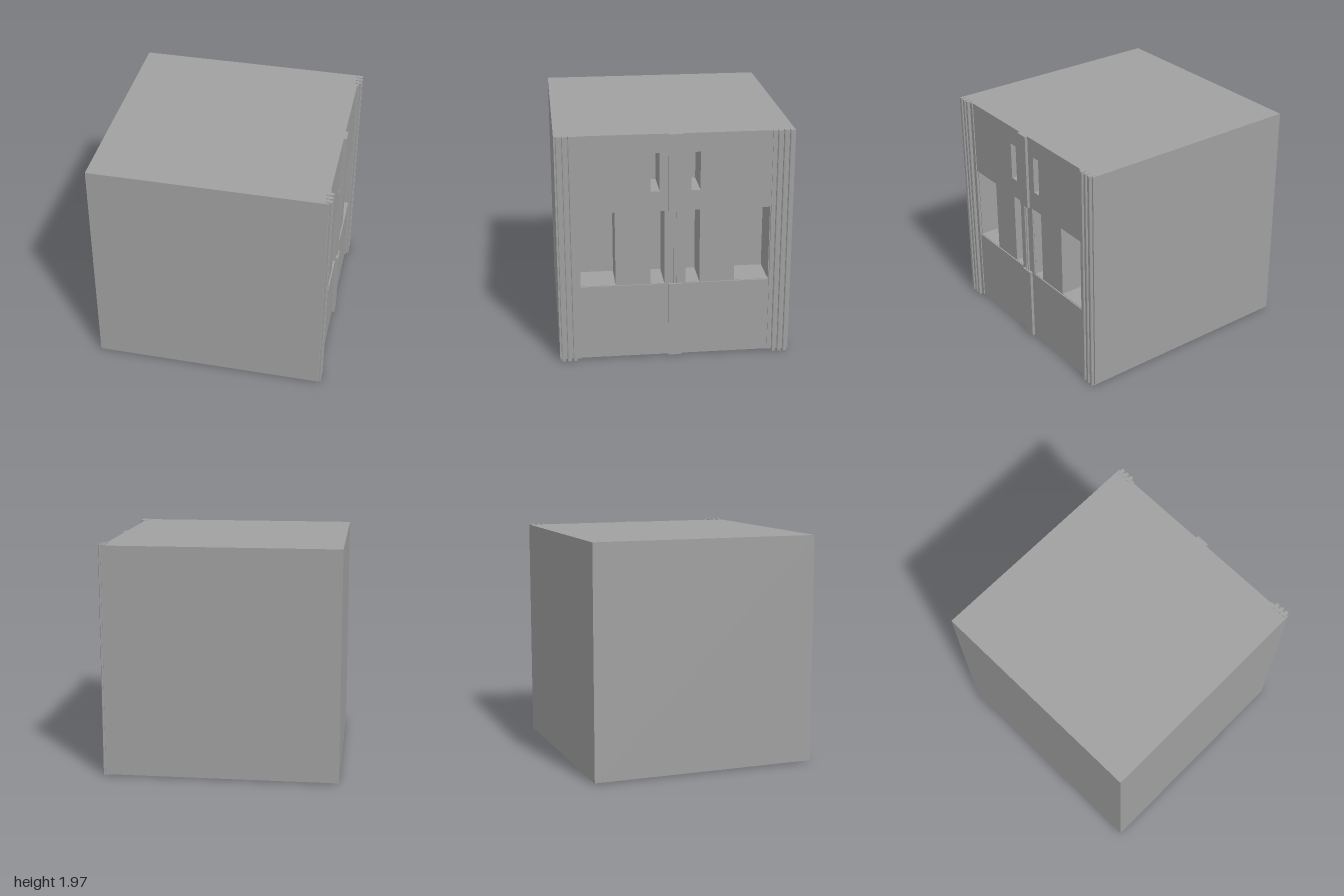
import * as THREE from 'three';

export function createModel() {
  const model = new THREE.Group();
  const grey = new THREE.MeshStandardMaterial({ color: 0xa0a0a0 });
  const Y0 = 0.01, Y1 = 1.965, Z = 0.977, FACE = 0.955;

  const add = (name, geometry) => {
    const mesh = new THREE.Mesh(geometry, grey);
    mesh.name = name;
    model.add(mesh);
    return mesh;
  };
  // box given by its limits on each axis
  const box = (name, x0, x1, y0, y1, z0, z1) =>
    add(name, new THREE.BoxGeometry(x1 - x0, y1 - y0, z1 - z0)
      .translate((x0 + x1) / 2, (y0 + y1) / 2, (z0 + z1) / 2));
  const rect = (Type, z0, z1, y0, y1) => new Type([
    new THREE.Vector2(z0, y0), new THREE.Vector2(z1, y0),
    new THREE.Vector2(z1, y1), new THREE.Vector2(z0, y1)]);
  // upright panel facing +x, with mirrored rectangular openings
  const panel = (name, x0, x1, [z, y0, y1], openings) => {
    const shape = rect(THREE.Shape, -z, z, y0, y1);
    for (const [a, b, c, d] of openings) {
      shape.holes.push(rect(THREE.Path, a, b, c, d), rect(THREE.Path, -b, -a, c, d));
    }
    add(name, new THREE.ExtrudeGeometry(shape, { depth: x1 - x0, bevelEnabled: false })
      .rotateY(Math.PI / 2).translate(x0, 0, 0));
  };

  // cabinet body, open on the +x side
  const shell = box('body', -1, FACE, Y0, Y1, -Z, Z);
  shell.geometry.setIndex(Array.from(shell.geometry.index.array).slice(6));
  shell.geometry.clearGroups();

  // detailed side with deep recesses, and the wall closing them
  const B0 = 0.66, B1 = 1.31;
  const slot = [0.13, 0.205, 1.48, 1.805];
  const recesses = [[0.498, 0.788, B0 + 0.003, B1 - 0.003], [0.09, 0.205, B0 + 0.003, B1 - 0.003], slot];
  panel('recessedSide', 0.65, FACE, [Z - 0.001, Y0 + 0.001, Y1 - 0.001], recesses);
  box('recessBack', 0.6, 0.649, 0.5, 1.9, -0.85, 0.85);

  // raised skins above and below the middle band
  panel('lowerSkin', FACE, 0.966, [0.795, Y0, B0], []);
  panel('upperSkin', FACE, 0.966, [0.795, B1, Y1], [slot]);

  // central rib, broken by the wider post in the band
  box('lowerRib', FACE, 0.99, Y0, B0 + 0.005, -0.056, 0.056);
  box('upperRib', FACE, 0.99, B1 - 0.005, Y1, -0.056, 0.056);
  box('centrePost', FACE, 0.966, B0, B1, -0.088, 0.088);
  for (const s of [-1, 1]) {
    box('centreBar', 0.96, 0.982, B0, B1, s * 0.013 - 0.004, s * 0.013 + 0.004);
  }

  // edge posts with three waisted rails each
  const half = [[0.945, 0.013], [0.962, 0.017], [0.976, 0.017], [0.98, 0.014], [0.996, 0.016], [1, 0.011]];
  const outline = [...half.map(([x, z]) => new THREE.Vector2(x, -z)),
    ...half.slice().reverse().map(([x, z]) => new THREE.Vector2(x, z))];
  const rail = new THREE.ExtrudeGeometry(new THREE.Shape(outline), { depth: 1.972, bevelEnabled: false })
    .rotateX(-Math.PI / 2);
  for (const s of [-1, 1]) {
    const [a, b] = s > 0 ? [0.795, Z] : [-Z, -0.795];
    box('edgePost', FACE, 0.975, Y0, Y1, a, b);
    for (const z of [0.848, 0.897, 0.946]) add('edgeRail', rail).position.z = s * z;
  }
  return model;
}
